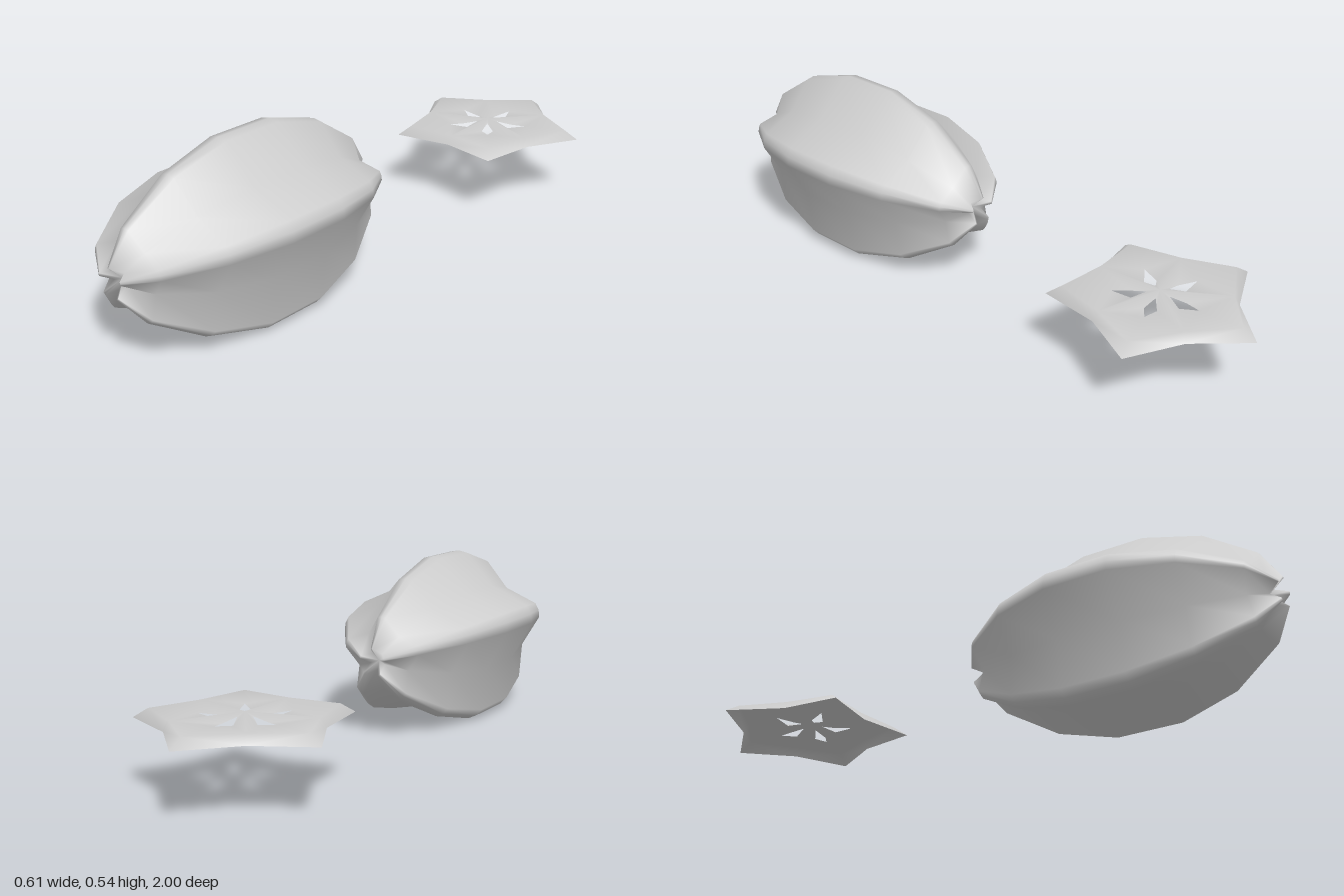
import * as THREE from 'three';

const SECTOR = Math.PI * 2 / 5;

function makeMesh(name, points, faces, side = THREE.FrontSide) {
  const geometry = new THREE.BufferGeometry();
  geometry.setAttribute('position', new THREE.Float32BufferAttribute(points.flat(), 3));
  geometry.setIndex(faces.flat());
  geometry.computeVertexNormals();
  const mesh = new THREE.Mesh(geometry, new THREE.MeshStandardMaterial({ color: 0xcccccc, side }));
  mesh.name = name;
  return mesh;
}

// Whole fruit: five-ridged star sections lofted along z
function createFruit() {
  // ridge z, ridge radius, valley z, valley radius
  const half = [
    [0.5, 0.045, 0.465, 0.028],
    [0.44, 0.137, 0.425, 0.095],
    [0.285, 0.239, 0.28, 0.178],
    [0.1, 0.291, 0.1, 0.2195],
  ];
  const rows = [...half, ...half.slice().reverse().map(([a, R, b, r]) => [-a, R, -b, r])];
  const points = [], faces = [];
  const spread = 0.107;
  for (const [zr, R, zv, r] of rows) {
    for (let k = 0; k < 5; k++) {
      const mid = Math.PI / 2 + k * SECTOR;
      for (const [da, rad, z] of [[-spread, R * 0.985, zr], [0, R, zr], [spread, R * 0.985, zr], [SECTOR / 2, r, zv]])
        points.push([rad * Math.cos(mid + da), rad * Math.sin(mid + da), z]);
    }
  }
  const n = 20, last = (rows.length - 1) * n;
  for (let i = 0; i < rows.length - 1; i++) {
    for (let j = 0; j < n; j++) {
      const a = i * n + j, d = i * n + (j + 1) % n;
      faces.push([a, a + n, d], [a + n, d + n, d]);
    }
  }
  // Dimpled ends
  const front = points.push([0, 0, 0.455]) - 1;
  const back = points.push([0, 0, -0.455]) - 1;
  for (let j = 0; j < n; j++) {
    const k = (j + 1) % n;
    faces.push([front, j, k], [back, last + k, last + j]);
  }
  return makeMesh('fruit', points, faces);
}

// Cut slice: thin star shell with a bevelled rim and five seed openings
function createSlice() {
  const points = [[0, 0.034, 0]], faces = [];
  const add = (a, r, y, side = 0) => points.push([
    r * Math.sin(a) + side * Math.cos(a), y, -r * Math.cos(a) + side * Math.sin(a)]) - 1;
  const valleys = [], outerValleys = [];
  for (let k = 0; k < 5; k++) {
    valleys.push(add((k + 0.5) * SECTOR, 0.21, 0.028));
    outerValleys.push(add((k + 0.5) * SECTOR, 0.226, 0));
  }
  for (let k = 0; k < 5; k++) {
    const a = k * SECTOR;
    const inner = add(a, 0.035, 0.026), outer = add(a, 0.135, 0.022);
    const tip = add(a, 0.277, 0.028), outerTip = add(a, 0.322, 0);
    for (const h of [1, -1]) {
      const s = add(a, 0.08, 0.014, h * 0.019);
      const v = valleys[h > 0 ? k : (k + 4) % 5], vo = outerValleys[h > 0 ? k : (k + 4) % 5];
      const set = [[0, s, inner], [0, v, s], [s, v, outer], [outer, v, tip], [tip, v, vo], [tip, vo, outerTip]];
      for (const [p, q, r] of set) faces.push(h > 0 ? [p, q, r] : [p, r, q]);
    }
  }
  return makeMesh('slice', points, faces, THREE.DoubleSide);
}

export function createModel() {
  const group = new THREE.Group();
  group.name = 'starFruit';
  const fruit = createFruit();
  fruit.position.set(0, 0.25, 0.5);
  const slice = createSlice();
  slice.position.set(0, 0.208, -0.678);
  group.add(fruit, slice);
  return group;
}
